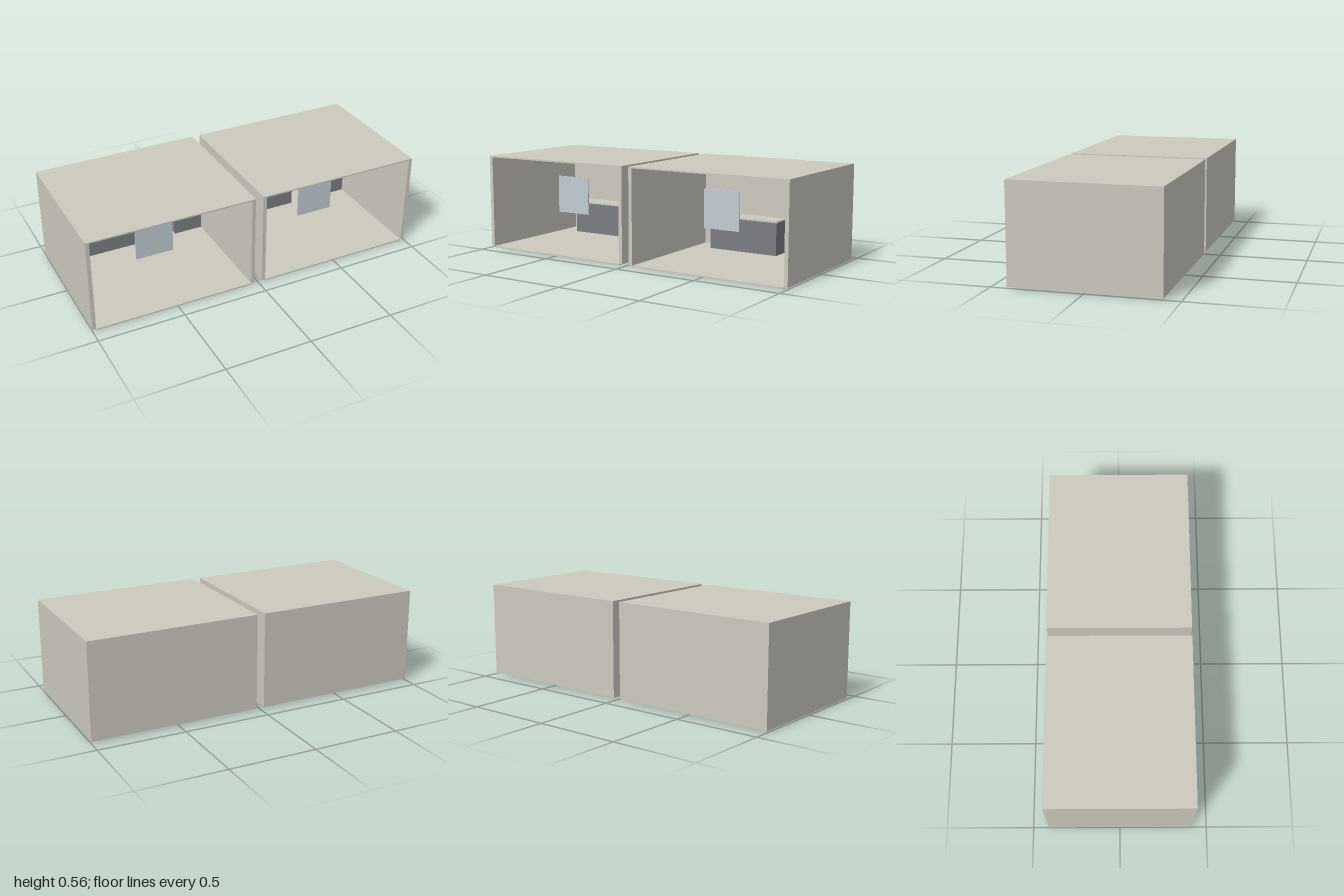
import * as THREE from 'three';

const shellMat = new THREE.MeshStandardMaterial({ color: 0xcdc9bf });
const darkMat = new THREE.MeshStandardMaterial({ color: 0x7a7d83 });
const glassMat = new THREE.MeshStandardMaterial({ color: 0xc0ccd2 });

// Box given by its minimum and maximum along each axis
function box(name, mat, [x0, x1], [y0, y1], [z0, z1]) {
  const mesh = new THREE.Mesh(new THREE.BoxGeometry(x1 - x0, y1 - y0, z1 - z0), mat);
  mesh.position.set((x0 + x1) / 2, (y0 + y1) / 2, (z0 + z1) / 2);
  mesh.name = name;
  return mesh;
}

const FRONT = 0.41, BACK = -0.41, INNER_BACK = -0.387;
const FLOOR = 0.008, CEILING = 0.552, TOP = 0.56;
const WALL = 0.022, UNIT_FRONT = -0.257;

function createRoom({ name, x0, x1, counter, lamps }) {
  const room = new THREE.Group();
  room.name = name;
  const inner = [x0 + WALL, x1 - WALL];
  const wallY = [FLOOR, CEILING];

  // Shell, open at the front
  room.add(
    box('floor', shellMat, inner, [0, FLOOR], [INNER_BACK, FRONT]),
    box('roof', shellMat, [x0, x1], [CEILING, TOP], [BACK, FRONT]),
    box('rightWall', shellMat, [x0, inner[0]], wallY, [BACK, FRONT]),
    box('leftWall', shellMat, [inner[1], x1], wallY, [BACK, FRONT]),
    box('backWall', shellMat, inner, wallY, [BACK, INNER_BACK]),
  );

  // Furniture along the back wall
  const [c0, c1] = counter;
  room.add(
    box('counter', darkMat, counter, [FLOOR, 0.202], [INNER_BACK, UNIT_FRONT]),
    box('countertop', shellMat, [c0 - 0.004, c1 + 0.004], [0.202, 0.211], [INNER_BACK, UNIT_FRONT + 0.004]),
    box('tallCabinet', darkMat, [inner[1] - 0.177, inner[1]], [FLOOR, 0.482], [INNER_BACK, UNIT_FRONT]),
  );

  // Thin glass panel near the opening
  room.add(box('glassPanel', glassMat, [c1 - 0.222, c1], [0.22, 0.44], [0.184, 0.19]));

  // Flat ceiling lamps
  for (const x of lamps) {
    const lamp = new THREE.Mesh(new THREE.CylinderGeometry(0.014, 0.014, 0.006, 20), shellMat);
    lamp.position.set(x, CEILING - 0.003, 0);
    lamp.name = 'ceilingLamp';
    room.add(lamp);
  }
  return room;
}

export function createModel() {
  const model = new THREE.Group();
  model.name = 'twinRooms';
  model.add(
    createRoom({ name: 'rightRoom', x0: -1, x1: -0.024, counter: [-0.867, -0.426], lamps: [-0.76, -0.535, -0.31] }),
    createRoom({ name: 'leftRoom', x0: 0.022, x1: 1, counter: [0.156, 0.597], lamps: [0.487] }),
  );
  return model;
}
